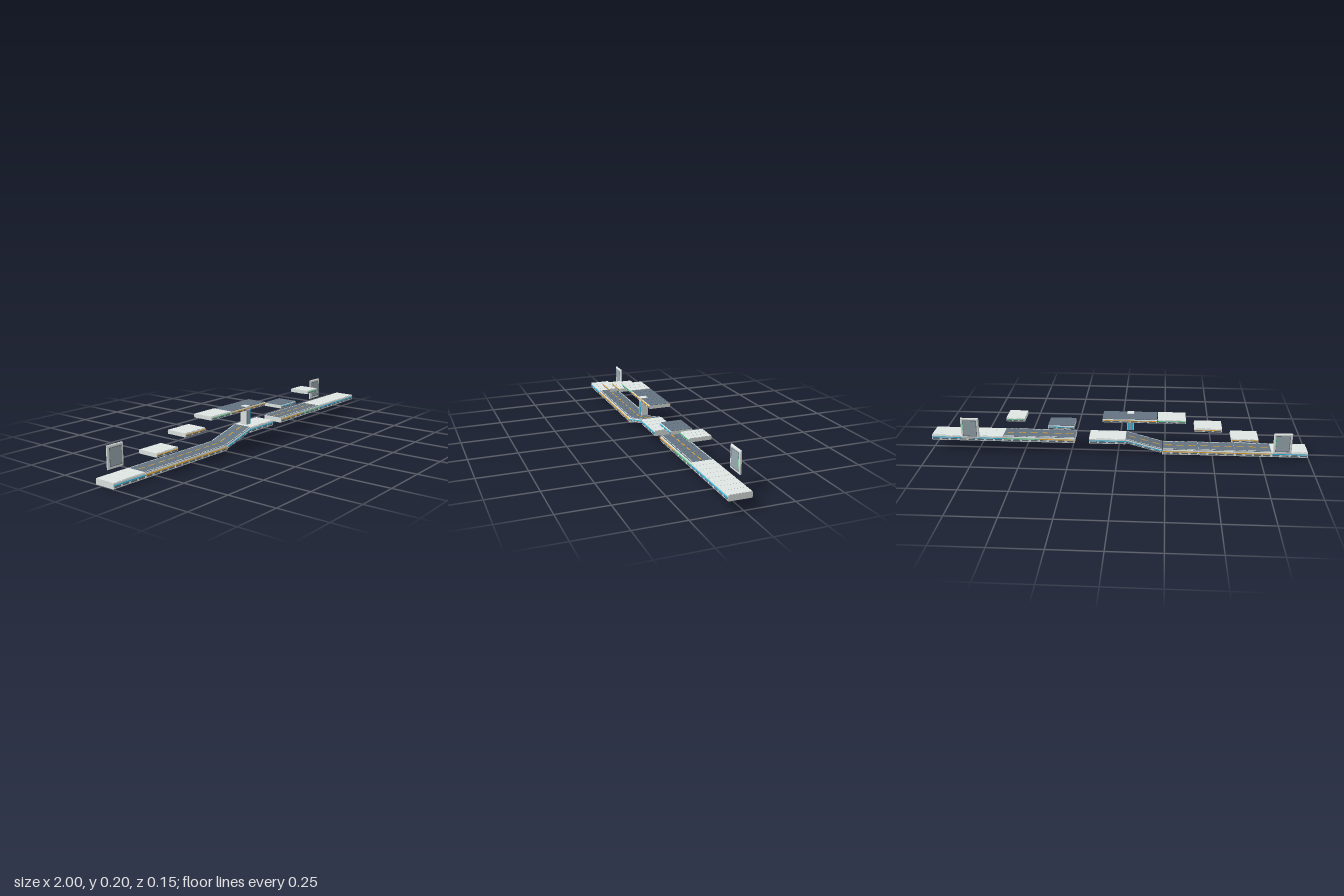
import * as THREE from 'three';

const mat = (name, color) => {
  const m = new THREE.MeshStandardMaterial({ color });
  m.name = name;
  return m;
};
const M = {
  light: mat('light grey', 0xdfe6e3),
  slate: mat('slate', 0x657482),
  dark: mat('dark underside', 0x3a444c),
  screen: mat('panel grey blue', 0x9aa8b1),
  cyan: mat('cyan', 0x2fc4f2),
  amber: mat('amber', 0xf5ae2a),
  green: mat('green', 0x55cf8c),
};
const Z = 0.017; // centre line of the walkway

function box(parent, name, material, w, h, d, x, y, z) {
  const m = new THREE.Mesh(new THREE.BoxGeometry(w, h, d), material);
  m.name = name;
  m.position.set(x, y, z);
  parent.add(m);
  return m;
}

// Bar along x with a chamfered cross-section of width w (z) and height h (y)
function chamferBar(len, h, w, c) {
  const a = w / 2, b = h / 2;
  const s = new THREE.Shape([
    [a - c, -b], [a, c - b], [a, b - c], [a - c, b],
    [c - a, b], [-a, b - c], [-a, c - b], [c - a, -b],
  ].map(([x, y]) => new THREE.Vector2(x, y)));
  return new THREE.ExtrudeGeometry(s, { depth: len, bevelEnabled: false })
    .translate(0, 0, -len / 2).rotateY(Math.PI / 2);
}

// One deck segment; its origin is the middle of the top surface
function deck(name, len, thick, top, accent) {
  const g = new THREE.Group();
  g.name = name;
  const body = new THREE.Mesh(chamferBar(len - 0.0015, thick - 0.002, 0.114, 0.002), M.light);
  body.name = 'deckBody';
  body.position.y = -0.001 - thick / 2;
  g.add(body);

  // Floor tiles with narrow gaps
  const n = Math.max(3, Math.round(len / 0.048)), step = len / n;
  box(g, 'tileBed', top, len - 0.0015, 0.0012, 0.11, 0, -0.0012, 0);
  for (let i = 0; i < n; i++) {
    const x = -len / 2 + step * (i + 0.5);
    box(g, 'floorTile', top, step - 0.002, 0.0012, 0.109, x, -0.0006, 0);
  }

  // Thin light strip and slate vents on both sides; the front strip stands out more
  for (const s of [-1, 1]) {
    const out = s > 0 ? 0.0602 : 0.058;
    box(g, 'sideLight', accent, len - 0.002, thick * 0.16, 0.004, 0, -thick * 0.42, s * (out - 0.002));
    for (let i = 0; i < n; i++) {
      const x = -len / 2 + step * (i + 0.5);
      box(g, 'sideVent', M.slate, step * 0.75, thick * 0.26, 0.002, x, -thick * 0.7, s * 0.0565);
    }
  }
  return g;
}

// Painted markings for the dark walking decks
function addMarkings(g, len) {
  const n = 3, step = len / n;
  for (let i = 0; i < n; i++) {
    const x = -len / 2 + step * (i + 0.5);
    box(g, 'centreDash', M.amber, step * 0.6, 0.001, 0.006, x, 0.0002, 0);
    for (const s of [-1, 1])
      box(g, 'edgeMark', M.light, step * 0.85, 0.001, 0.004, x, 0.0002, s * 0.049);
  }
}

// Floating deck with a dark plate below
function floatingDeck(x0, x1, y, top, accent) {
  const len = x1 - x0;
  const g = deck('floatingDeck', len, 0.02, top, accent);
  box(g, 'underPlate', M.dark, len * 0.68, 0.008, 0.052, 0, -0.024, 0);
  g.position.set((x0 + x1) / 2, y, Z);
  return g;
}

// Upright panel with chamfered edges and an inset face on both sides
function panel(x, y0) {
  const g = new THREE.Group();
  g.name = 'wallPanel';
  const w = 0.096, h = 0.113;
  const s = new THREE.Shape();
  const a = w / 2 - 0.004, b = h / 2 - 0.004;
  s.moveTo(-a, -b).lineTo(a, -b).lineTo(a, b).lineTo(-a, b);
  const geo = new THREE.ExtrudeGeometry(s, {
    depth: 0.006, bevelThickness: 0.003, bevelSize: 0.004, bevelSegments: 1,
  }).translate(0, 0, -0.003);
  const frame = new THREE.Mesh(geo, M.light);
  frame.name = 'panelFrame';
  g.add(frame);
  for (const k of [-1, 1]) {
    box(g, 'panelBorder', M.slate, 0.074, 0.09, 0.001, 0, 0, k * 0.0058);
    box(g, 'panelFace', M.screen, 0.067, 0.083, 0.001, 0, 0, k * 0.0062);
    box(g, 'panelLight', M.green, 0.003, 0.066, 0.001, 0.0355, 0, k * 0.0063);
  }
  g.position.set(x, y0 + h / 2, -0.0695);
  return g;
}

export function createModel() {
  const root = new THREE.Group();
  root.name = 'walkwayKit';

  // Main decks: start x, end x, top y, floor, lights
  const W = 0.19125, R = 0.1925;
  const decks = [
    [-1, -1 + W, 0.03, M.light, M.cyan],
    [-1 + W, -1 + 2 * W, 0.03, M.slate, M.amber],
    [-1 + 2 * W, -1 + 3 * W, 0.03, M.slate, M.amber],
    [-1 + 3 * W, -0.235, 0.03, M.slate, M.amber],
    [-0.04, 0.155, 0.083, M.light, M.cyan],
    [0.23, 0.23 + R, 0.083, M.slate, M.amber],
    [0.23 + R, 0.23 + 2 * R, 0.083, M.slate, M.green],
    [0.23 + 2 * R, 0.23 + 3 * R, 0.083, M.light, M.cyan],
    [0.23 + 3 * R, 1, 0.083, M.light, M.cyan],
  ];
  for (const [x0, x1, y, top, accent] of decks) {
    const d = deck('deck', x1 - x0, 0.03, top, accent);
    if (top === M.slate) addMarkings(d, x1 - x0);
    d.position.set((x0 + x1) / 2, y, Z);
    root.add(d);
  }

  // Ramp joining the low and high decks
  const rampLen = Math.hypot(0.195, 0.053);
  const ramp = deck('ramp', rampLen, 0.022, M.slate, M.cyan);
  addMarkings(ramp, rampLen);
  ramp.position.set(-0.1375, 0.0565, Z);
  ramp.rotation.z = Math.atan2(0.053, 0.195);
  root.add(ramp);

  // Floating decks
  root.add(
    floatingDeck(-0.737, -0.595, 0.1, M.light, M.amber),
    floatingDeck(-0.545, -0.4, 0.154, M.light, M.amber),
    floatingDeck(-0.355, -0.207, 0.198, M.light, M.green),
    floatingDeck(-0.205, 0.082, 0.197, M.slate, M.amber),
    floatingDeck(0.23, 0.37, 0.153, M.slate, M.cyan),
    floatingDeck(0.49, 0.59, 0.19, M.light, M.green),
  );

  // Pillar through the front edge of the upper deck
  const pillar = new THREE.Group();
  pillar.name = 'pillar';
  box(pillar, 'pillarBody', M.light, 0.036, 0.096, 0.038, 0, 0, 0);
  for (const k of [-1, 1]) {
    box(pillar, 'pillarFace', M.screen, 0.032, 0.074, 0.002, 0, -0.01, k * 0.019);
    for (const s of [-1, 1])
      box(pillar, 'pillarLight', M.cyan, 0.007, 0.074, 0.002, s * 0.01, -0.01, k * 0.0195);
  }
  pillar.position.set(-0.063, 0.151, 0.056);
  root.add(pillar);

  // Upright panels behind the decks
  root.add(panel(-0.858, 0.036), panel(0.781, 0.083));
  return root;
}
